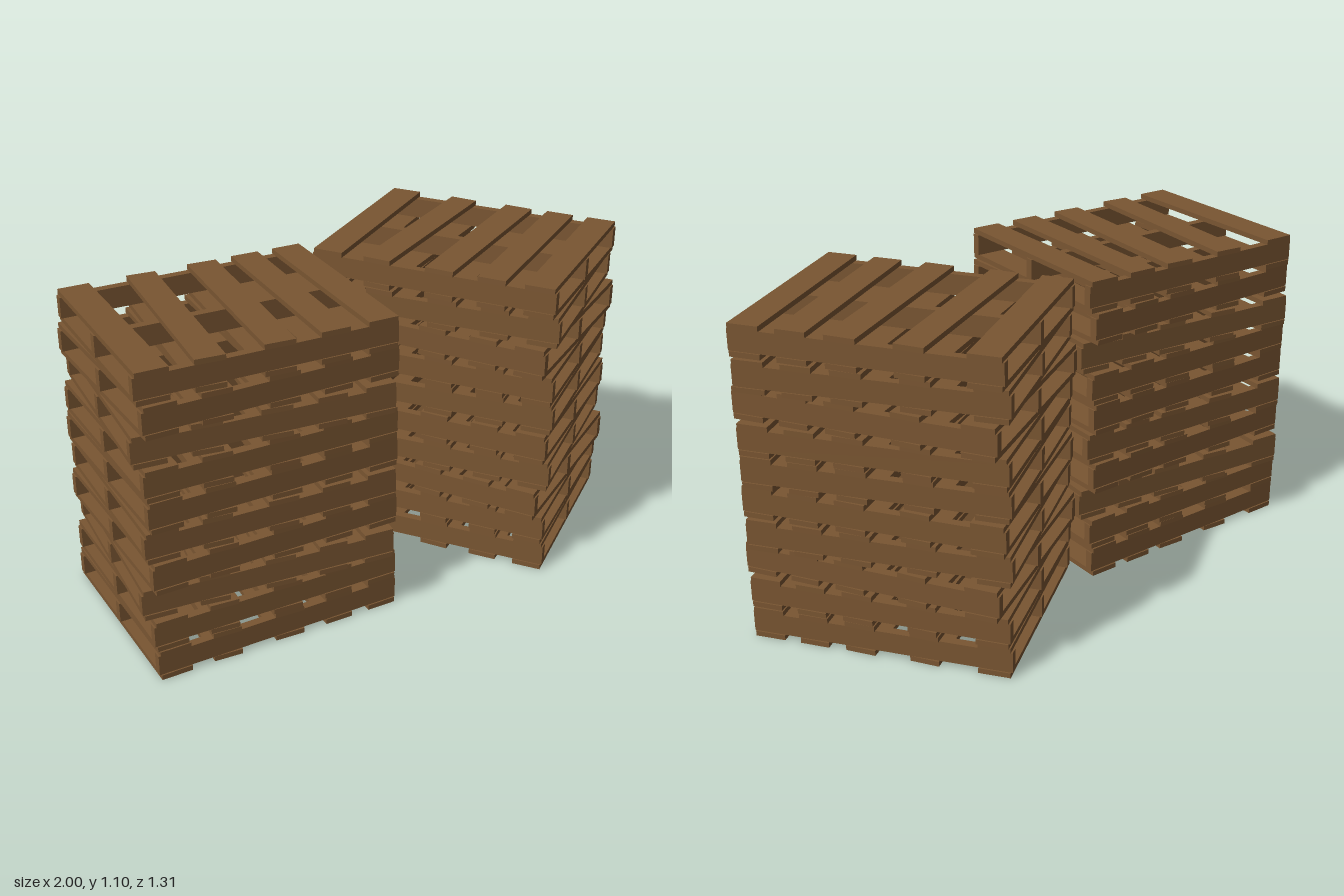
import * as THREE from 'three';

const WIDTH = 0.71, LENGTH = 0.89, PITCH = 0.1095, BOARD = 0.018;
const wood = new THREE.MeshStandardMaterial({ color: 0x7a5632, flatShading: true });

// Boards across the stringers: [centre along z, width, small skew]
const BOARDS = [
  [-0.385, 0.108, 0],
  [-0.175, 0.1, -0.07],
  [0.05, 0.104, -0.055],
  [0.225, 0.1, -0.015],
  [0.388, 0.104, 0],
];

function box(name, w, h, d, x, y, z, yaw = 0) {
  const mesh = new THREE.Mesh(new THREE.BoxGeometry(w, h, d), wood);
  mesh.name = name;
  mesh.position.set(x, y, z);
  mesh.rotation.y = yaw;
  return mesh;
}

function makePallet() {
  const pallet = new THREE.Group();
  pallet.name = 'pallet';
  // Three stringers running front to back
  const h = PITCH - 2 * BOARD;
  for (const x of [-0.335, 0, 0.335]) {
    pallet.add(box('stringer', 0.03, h, LENGTH, x, PITCH / 2, 0));
  }
  // Bottom and top decks
  for (const [z, w, skew] of BOARDS) {
    pallet.add(box('bottomBoard', WIDTH, BOARD, w, 0, BOARD / 2, z, skew));
    pallet.add(box('topBoard', WIDTH, BOARD, w, 0, PITCH - BOARD / 2, z, skew));
  }
  return pallet;
}

// Ten pallets: the same slightly twisted set of five, twice
const YAWS = [14.8, 14, 10, 15, 12.7];

function makeStack(name, x, z, yaw) {
  const stack = new THREE.Group();
  stack.name = name;
  for (let i = 0; i < 10; i++) {
    const pallet = makePallet();
    pallet.position.y = i * PITCH + (i >= 5 ? 0.005 : 0);
    pallet.rotation.y = THREE.MathUtils.degToRad(YAWS[i % 5]);
    stack.add(pallet);
  }
  stack.position.set(x, 0, z);
  stack.rotation.y = THREE.MathUtils.degToRad(yaw);
  return stack;
}

export function createModel() {
  const model = new THREE.Group();
  model.name = 'palletStacks';
  model.add(makeStack('leftStack', 0.543, 0.135, 0));
  model.add(makeStack('rightStack', -0.445, -0.143, 53));
  return model;
}
